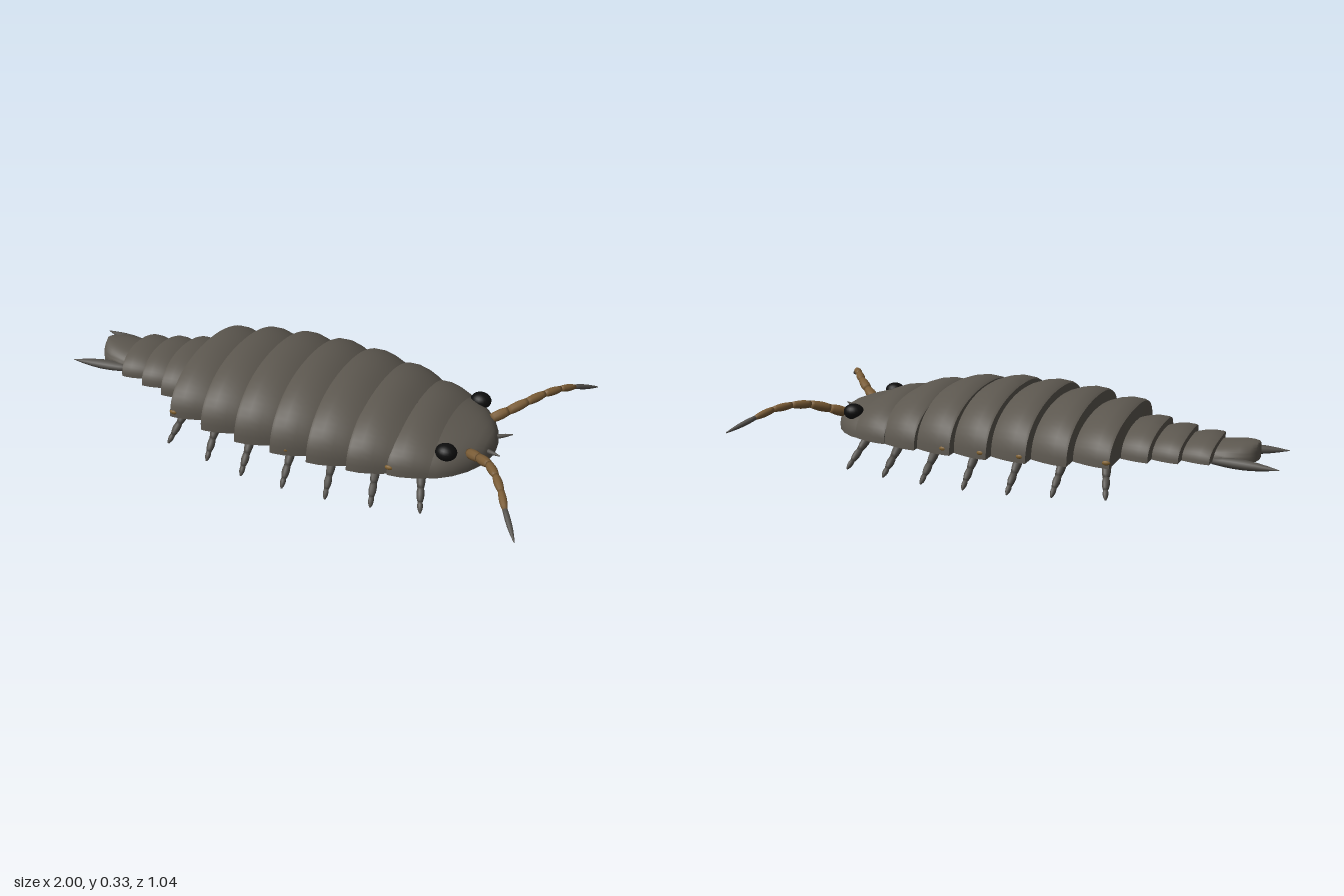
import * as THREE from 'three';
import { toCreasedNormals } from 'three/addons/utils/BufferGeometryUtils.js';

const mat = (name, color, side = THREE.FrontSide) => {
  const m = new THREE.MeshStandardMaterial({ color, side });
  m.name = name;
  return m;
};

const BASE = 0.107;
const ARC = 28;

// Closed dome lofted along x; each section is [x, halfWidth, topY]
function loft(sections, skew = 0) {
  const pos = [], idx = [], n = ARC + 1;
  for (const [x, w, top] of sections) {
    for (let k = 0; k < n; k++) {
      const a = Math.PI * k / ARC, c = Math.cos(a), s = Math.max(0, Math.sin(a));
      const z = Math.sign(c) * Math.pow(Math.abs(c), 0.92);
      pos.push(x + skew * z * z, BASE + (top - BASE) * Math.pow(s, 0.88), w * z);
    }
  }
  for (let i = 0; i < sections.length - 1; i++) {
    for (let k = 0; k < n; k++) {
      const a = i * n + k, c = i * n + (k + 1) % n;
      idx.push(a, a + n, c, a + n, c + n, c);
    }
  }
  // end caps
  const last = sections.length - 1;
  for (const i of [0, last]) {
    const centre = pos.length / 3;
    pos.push(sections[i][0] + skew * 0.3, BASE + 0.01, 0);
    for (let k = 0; k < n; k++) {
      const a = i * n + k, b = i * n + (k + 1) % n;
      if (i === 0) idx.push(centre, a, b);
      else idx.push(centre, b, a);
    }
  }
  const g = new THREE.BufferGeometry();
  g.setAttribute('position', new THREE.Float32BufferAttribute(pos, 3));
  g.setIndex(idx);
  return toCreasedNormals(g, 0.7);
}

// Overlapping plate: raised flared rear edge, narrowing and dipping forward
function plateGeometry(x0, x1, w, top, wDrop, hDrop) {
  const L = x1 - x0 + 0.02;
  const steps = [[0, 0.01, 0.35], [0.06, 0, 0.18], [0.3, 0.1, 0], [0.55, 0.35, 0.15], [0.8, 0.7, 0.55], [1, 1.05, 1.1]];
  return loft(steps.map(([t, dw, dh]) => [x0 + L * t, w - wDrop * dw, top - hDrop * dh]), 0.018);
}

// Spindle shaped joint from a to b
function joint(a, b, r0, r1, bulge, material, name) {
  const len = a.distanceTo(b), pts = [new THREE.Vector2(0, 0)];
  for (let i = 0; i <= 6; i++) {
    const t = i / 6;
    pts.push(new THREE.Vector2(r0 + (r1 - r0) * t + bulge * Math.sin(Math.PI * t), len * t));
  }
  pts.push(new THREE.Vector2(0, len));
  const m = new THREE.Mesh(new THREE.LatheGeometry(pts, 10), material);
  m.position.copy(a);
  m.quaternion.setFromUnitVectors(new THREE.Vector3(0, 1, 0), b.clone().sub(a).normalize());
  m.name = name;
  return m;
}

export function createModel() {
  const root = new THREE.Group();
  root.name = 'isopod';
  const shell = mat('shellGrey', 0x5c574f);
  const limb = mat('limbGrey', 0x53504b);
  const brown = mat('antennaBrown', 0x7a5c36);
  const black = mat('eyeBlack', 0x0d0d0d);
  const orange = mat('spotOchre', 0x80602e);
  const V = (x, y, z) => new THREE.Vector3(x, y, z);
  const add = (geometry, material, name, parent = root) => {
    const m = new THREE.Mesh(geometry, material);
    m.name = name;
    parent.add(m);
    return m;
  };

  // Body plates from rear to front: x0, x1, halfWidth, top
  const body = [
    [-0.45, -0.30, 0.315, 0.275], [-0.30, -0.15, 0.342, 0.305], [-0.15, 0, 0.356, 0.321],
    [0, 0.145, 0.36, 0.325], [0.145, 0.295, 0.356, 0.316], [0.295, 0.437, 0.337, 0.292],
    [0.437, 0.58, 0.298, 0.257],
  ];
  body.forEach(([a, b, w, h], i) => add(plateGeometry(a, b, w, h, 0.055, 0.036), shell, 'bodyPlate' + (i + 1)));

  // Tail plates
  const tail = [[-0.773, -0.665, 0.15, 0.188], [-0.665, -0.56, 0.175, 0.203], [-0.56, -0.45, 0.202, 0.222]];
  tail.forEach(([a, b, w, h], i) => add(plateGeometry(a, b, w, h, 0.035, 0.02), shell, 'tailPlate' + (i + 1)));

  // Tail shield
  add(loft([[-0.912, 0.02, 0.17], [-0.905, 0.05, 0.173], [-0.885, 0.078, 0.174], [-0.85, 0.094, 0.174],
    [-0.8, 0.1, 0.168], [-0.75, 0.095, 0.16]]), shell, 'tailShield');

  // Head
  add(loft([[0.57, 0.262, 0.228], [0.62, 0.245, 0.22], [0.67, 0.205, 0.207], [0.71, 0.157, 0.192],
    [0.737, 0.108, 0.175], [0.752, 0.065, 0.158], [0.759, 0.02, 0.138]]), shell, 'head');

  for (const s of [1, -1]) {
    const side = s > 0 ? 'Right' : 'Left';

    // Eyes
    const eye = add(new THREE.SphereGeometry(1, 20, 14), black, 'eye' + side);
    eye.scale.set(0.04, 0.031, 0.036);
    eye.position.set(0.635, 0.19, s * 0.186);

    // Antennae: brown joints with a grey whip tip
    const antenna = new THREE.Group();
    antenna.name = 'antenna' + side;
    const path = [[0.7, 0.165, 0.122], [0.75, 0.188, 0.165], [0.805, 0.213, 0.22], [0.85, 0.222, 0.285],
      [0.892, 0.217, 0.352], [0.93, 0.198, 0.42], [0.998, 0.158, 0.52]].map(([x, y, z]) => V(x, y, s * z));
    const radii = [0.017, 0.016, 0.014, 0.012, 0.011, 0.009, 0.002];
    for (let i = 0; i < 6; i++) {
      antenna.add(joint(path[i], path[i + 1], radii[i], radii[i + 1], 0.004, i < 5 ? brown : limb, 'antennaJoint'));
    }
    root.add(antenna);

    // Short feelers
    root.add(joint(V(0.735, 0.14, s * 0.045), V(0.8, 0.152, s * 0.075), 0.009, 0.002, 0.002, limb, 'feeler' + side));

    // Tail blades
    const blade = joint(V(0, 0, 0), V(0, 0.25, 0), 0.017, 0.001, 0.014, limb, 'tailBlade' + side);
    const holder = new THREE.Group();
    holder.name = 'tailBladeHolder' + side;
    blade.rotation.set(0, 0, Math.PI / 2);
    blade.scale.x = 0.8;
    holder.add(blade);
    holder.position.set(-0.755, 0.108, s * 0.088);
    holder.rotation.y = s * 0.17;
    root.add(holder);

    // Legs: base x, tip x, tip z
    const legs = [[-0.4, -0.43, 0.345], [-0.25, -0.24, 0.382], [-0.09, -0.08, 0.408], [0.08, 0.09, 0.41],
      [0.24, 0.26, 0.4], [0.4, 0.427, 0.372], [0.555, 0.6, 0.325]];
    legs.forEach(([bx, tx, tz], i) => {
      const leg = new THREE.Group();
      leg.name = 'leg' + side + (i + 1);
      const dx = tx - bx;
      const p = [V(bx - dx * 0.2, 0.115, s * (tz - 0.18)), V(bx, 0.112, s * (tz - 0.115)),
        V(bx + dx * 0.45, 0.062, s * (tz - 0.062)), V(bx + dx * 0.75, 0.028, s * (tz - 0.026)), V(tx, 0.001, s * tz)];
      const r = [0.013, 0.014, 0.012, 0.009, 0.003];
      for (let j = 0; j < 4; j++) leg.add(joint(p[j], p[j + 1], r[j], r[j + 1], 0.004, limb, 'legJoint'));
      root.add(leg);
    });
  }

  // Ochre flecks near the plate margins
  const flecks = [[-0.42, 0.127, 0.31], [0.07, 0.127, 0.345], [-0.42, 0.127, -0.31], [-0.11, 0.13, -0.349],
    [0.04, 0.13, -0.353], [0.19, 0.13, -0.348], [0.46, 0.135, 0.291]];
  for (const [x, y, z] of flecks) {
    const f = add(new THREE.SphereGeometry(1, 10, 8), orange, 'fleck');
    f.scale.set(0.016, 0.009, 0.007);
    f.position.set(x, y, z);
  }
  return root;
}
